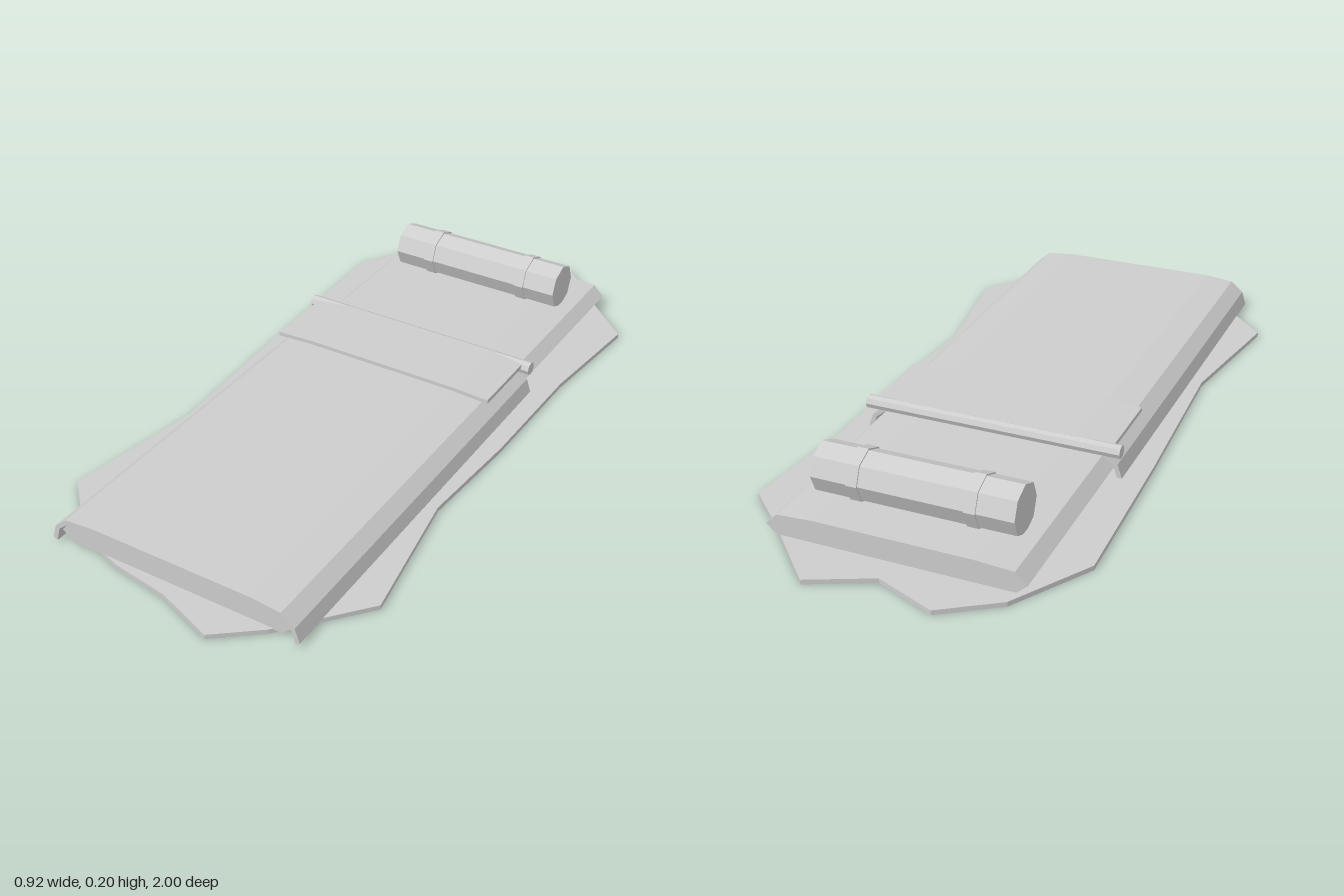
import * as THREE from 'three';

export function createModel() {
  const group = new THREE.Group();
  group.name = 'bedroll';
  const cloth = new THREE.MeshStandardMaterial({ color: 0xcccccc });
  cloth.name = 'grey cloth';

  const add = (name, geometry, x = 0, y = 0, z = 0) => {
    const mesh = new THREE.Mesh(geometry, cloth);
    mesh.name = name;
    mesh.position.set(x, y, z);
    group.add(mesh);
    return mesh;
  };
  const shapeOf = (points) => new THREE.Shape(points.map(([x, y]) => new THREE.Vector2(x, y)));
  // left half of a profile (bottom to top), mirrored to the other side
  const mirrored = (half) => [...half, ...half.map(([x, y]) => [-x, y]).reverse()];
  // cross-section in x and y, swept from z0 to z1
  const sweep = (points, z0, z1) => {
    const g = new THREE.ExtrudeGeometry(shapeOf(points), { depth: z1 - z0, bevelEnabled: false });
    return g.translate(0, 0, z0);
  };
  // arched sheet between an outer and an inner half profile
  const sheet = (outer, inner) => [...mirrored(outer), ...mirrored(inner).reverse()];
  // faceted bar along x
  const bar = (radius, length, sides) => {
    const g = new THREE.CylinderGeometry(radius, radius, length, sides).toNonIndexed();
    g.rotateZ(Math.PI / 2);
    g.computeVertexNormals();
    return g;
  };

  // ragged hide on the ground, outline in x and z
  const hide = [
    [-0.165, -0.99], [0, -0.925], [0.165, -1], [0.335, -0.825], [0.46, -0.71],
    [0.425, -0.37], [0.42, 0], [0.398, 0.31], [0.46, 0.7], [0.365, 0.81],
    [0.28, 0.905], [0.165, 0.995], [0, 0.935], [-0.165, 0.91], [-0.31, 0.86],
    [-0.463, 0.705], [-0.4, 0.31], [-0.425, -0.2], [-0.44, -0.685], [-0.31, -0.895],
  ];
  const hideGeometry = new THREE.ExtrudeGeometry(
    shapeOf(hide.map(([x, z]) => [x, -z])), { depth: 0.013, bevelEnabled: false });
  add('groundHide', hideGeometry.rotateX(-Math.PI / 2));

  // mattress
  add('mattress', sweep(mirrored([
    [-0.312, 0.01], [-0.343, 0.038], [-0.312, 0.069], [-0.21, 0.075],
  ]), -0.855, 0.895));

  // blanket draped over the mattress
  add('blanket', sweep(sheet(
    [[-0.368, 0.012], [-0.355, 0.052], [-0.318, 0.083], [-0.235, 0.091]],
    [[-0.356, 0.004], [-0.344, 0.046], [-0.312, 0.072], [-0.21, 0.08]],
  ), -0.29, 0.905));

  // folded-back top of the blanket and the rounded fold
  add('blanketFlap', sweep(sheet(
    [[-0.342, 0.105], [-0.235, 0.11]],
    [[-0.342, 0.093], [-0.235, 0.099]],
  ), -0.29, -0.065));
  add('blanketFold', bar(0.019, 0.73, 8), 0, 0.091, -0.289);

  // rolled pillow with two straps
  add('pillowRoll', bar(0.067, 0.54, 8), 0, 0.132, -0.693);
  for (const side of [-1, 1]) {
    add(side > 0 ? 'leftStrap' : 'rightStrap', bar(0.071, 0.03, 8), side * 0.156, 0.132, -0.693);
  }
  return group;
}
